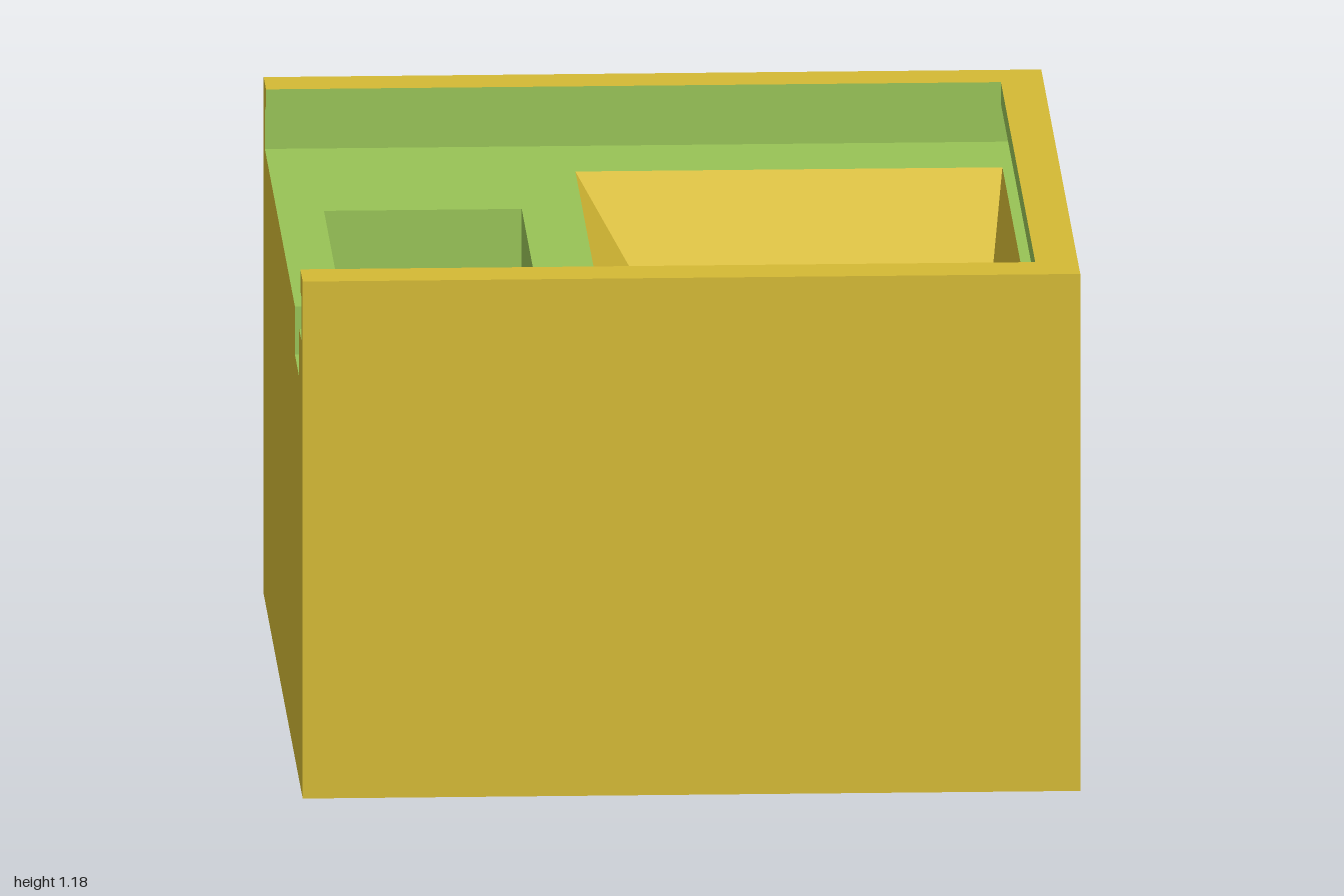
import * as THREE from 'three';

const olive = new THREE.MeshStandardMaterial({ color: 0xd4b934, side: THREE.DoubleSide });
olive.name = 'olive yellow';
const green = new THREE.MeshStandardMaterial({ color: 0x98c356, side: THREE.DoubleSide });
green.name = 'leaf green';

// Main dimensions
const X = 0.865, Z = 1, H = 1.18;
const WALL = 0.07, CEIL = 0.235;                 // hollow underside
const FLOOR = 1.03, LIP = 1.13;                  // lid recess and its overhanging lip
const LIPX = 0.77, LIPZ = 0.88, GRX = 0.795, GRZ = 0.94;
const LEDGE = 0.52, WELL = 0.35, SLOT = 0.92;    // motor pocket levels

// Rectangle as (x, z) points, ordered so that walls raised on it face inward
const rect = (x0, z0, x1, z1) => [[x0, z0], [x1, z0], [x1, z1], [x0, z1]];

const circle = (cx, cz, r, n = 24) => Array.from({ length: n }, (_, i) => {
  const a = (i / n) * Math.PI * 2;
  return [cx + r * Math.sin(a), cz - r * Math.cos(a)];
});

// Outline around a large and a small circle
function teardrop(cx, cz, R, tipZ, r, n = 60) {
  const edge = Math.acos((R - r) / (cz - tipZ));
  return Array.from({ length: n }, (_, i) => {
    const a = ((i + 0.5) / n) * Math.PI * 2 - Math.PI;
    const small = Math.abs(a) < edge;
    const rad = small ? r : R;
    return [cx + rad * Math.sin(a), (small ? tipZ : cz) - rad * Math.cos(a)];
  });
}

export function createModel() {
  const model = new THREE.Group();

  const add = (name, geometry, material) => {
    const mesh = new THREE.Mesh(geometry, material);
    mesh.name = name;
    model.add(mesh);
    return mesh;
  };

  // Horizontal face with holes
  function flat(name, material, pts, y, holes = [], down = false) {
    const toV = (p) => p.map(([x, z]) => new THREE.Vector2(x, -z));
    const shape = new THREE.Shape(toV(pts));
    holes.forEach((h) => shape.holes.push(new THREE.Path(toV(h))));
    const geo = new THREE.ShapeGeometry(shape).rotateX(-Math.PI / 2).translate(0, y, 0);
    if (down) {
      geo.index.array.reverse();
      geo.computeVertexNormals();
    }
    add(name, geo, material);
  }

  // Walls between two outlines with the same number of points
  function loft(name, material, low, y0, high, y1, closed = true) {
    const pos = [];
    const n = low.length;
    for (let i = 0; i < (closed ? n : n - 1); i++) {
      const j = (i + 1) % n;
      const a = [low[i][0], y0, low[i][1]], b = [low[j][0], y0, low[j][1]];
      const c = [high[j][0], y1, high[j][1]], d = [high[i][0], y1, high[i][1]];
      pos.push(...a, ...b, ...c, ...a, ...c, ...d);
    }
    const geo = new THREE.BufferGeometry();
    geo.setAttribute('position', new THREE.Float32BufferAttribute(pos, 3));
    geo.computeVertexNormals();
    add(name, geo, material);
  }
  const walls = (name, material, pts, y0, y1, closed = true) =>
    loft(name, material, pts, y0, pts, y1, closed);

  // Outer shell: three full sides and the open end with the lid groove profile
  walls('outerWalls', olive, [[-X, Z], [X, Z], [X, -Z], [-X, -Z]], 0, H, false);
  const end = [
    [-Z, 0], [Z, 0], [Z, H], [LIPZ, H], [LIPZ, LIP], [GRZ, LIP], [GRZ, FLOOR],
    [0.82, FLOOR], [0.82, SLOT], [0.6, SLOT], [0.6, FLOOR],
    [-GRZ, FLOOR], [-GRZ, LIP], [-LIPZ, LIP], [-LIPZ, H], [-Z, H],
  ];
  const endShape = new THREE.Shape(end.map(([z, y]) => new THREE.Vector2(z, y)));
  add('openEndWall', new THREE.ShapeGeometry(endShape).rotateY(-Math.PI / 2).translate(-X, 0, 0), olive);

  // Rims
  const lipLine = [[-X, -LIPZ], [LIPX, -LIPZ], [LIPX, LIPZ], [-X, LIPZ]];
  const grooveLine = [[-X, -GRZ], [GRX, -GRZ], [GRX, GRZ], [-X, GRZ]];
  const cavity = rect(-X + WALL, -Z + WALL, X - WALL, Z - WALL);
  flat('topRim', olive, [[-X, -Z], [X, -Z], [X, Z], [-X, Z], ...[...lipLine].reverse()], H);
  flat('bottomRim', olive, rect(-X, -Z, X, Z), 0, [cavity], true);

  // Lid recess
  walls('lipEdge', green, lipLine, LIP, H, false);
  flat('lipUnderside', green, [...grooveLine, ...[...lipLine].reverse()], LIP, [], true);
  walls('lidGroove', green, grooveLine, FLOOR, LIP, false);

  // Recess floor, notched at the open end for the cable slot and pocket
  const funnelTop = rect(-0.185, -0.69, 0.765, 0.76);
  const funnelHole = rect(0.34, 0.345, 0.625, 0.625);
  const [px0, px1, pz0, pz1] = [-0.76, -0.32, -0.33, 0.82];
  flat('recessFloor', green, [
    [-X, -GRZ], [GRX, -GRZ], [GRX, GRZ], [-X, GRZ], [-X, pz1], [px1, pz1],
    [px1, pz0], [px0, pz0], [px0, 0.6], [-X, 0.6],
  ], FLOOR, [funnelTop]);
  loft('funnel', olive, funnelHole, CEIL, funnelTop, FLOOR);

  // Cable slot
  flat('cableSlotFloor', green, rect(-X, 0.6, px0, pz1), SLOT);
  walls('cableSlotSide', green, [[-X, 0.6], [px0, 0.6]], SLOT, FLOOR, false);
  walls('cableSlotSide', green, [[px0, pz1], [-X, pz1]], SLOT, FLOOR, false);

  // Motor pocket: upper walls, two ledges with screw holes, deeper well
  const well = rect(px0, -0.16, px1, 0.65);
  walls('pocketWalls', green, rect(px0, pz0, px1, pz1), LEDGE, SLOT);
  walls('pocketUpperWalls', green,
    [[px0, 0.6], [px0, pz0], [px1, pz0], [px1, pz1], [px0, pz1]], SLOT, FLOOR, false);
  for (const [z0, z1, hz] of [[pz0, -0.16, -0.23], [0.65, pz1, 0.725]]) {
    const screw = circle(-0.54, hz, 0.032);
    flat('pocketLedge', green, rect(px0, z0, px1, z1), LEDGE, [screw]);
    walls('screwHole', green, screw, LEDGE - 0.15, LEDGE);
    flat('screwHoleBottom', green, screw, LEDGE - 0.15);
  }
  walls('wellWalls', green, well, WELL, LEDGE);
  const drop = teardrop(-0.54, 0.443, 0.217, 0.265, 0.085);
  flat('wellFloor', green, well, WELL, [drop.map(([x, z]) => [x, Math.min(z, 0.649)])]);
  flat('ledgeUnderside', green, drop.filter(([, z]) => z > 0.64), WELL, [], true);
  walls('shaftOpening', olive, drop, CEIL, WELL);

  // Hollow underside
  walls('cavityWalls', green, cavity, 0, CEIL);
  flat('cavityCeiling', green, cavity, CEIL, [funnelHole, drop], true);

  return model;
}
